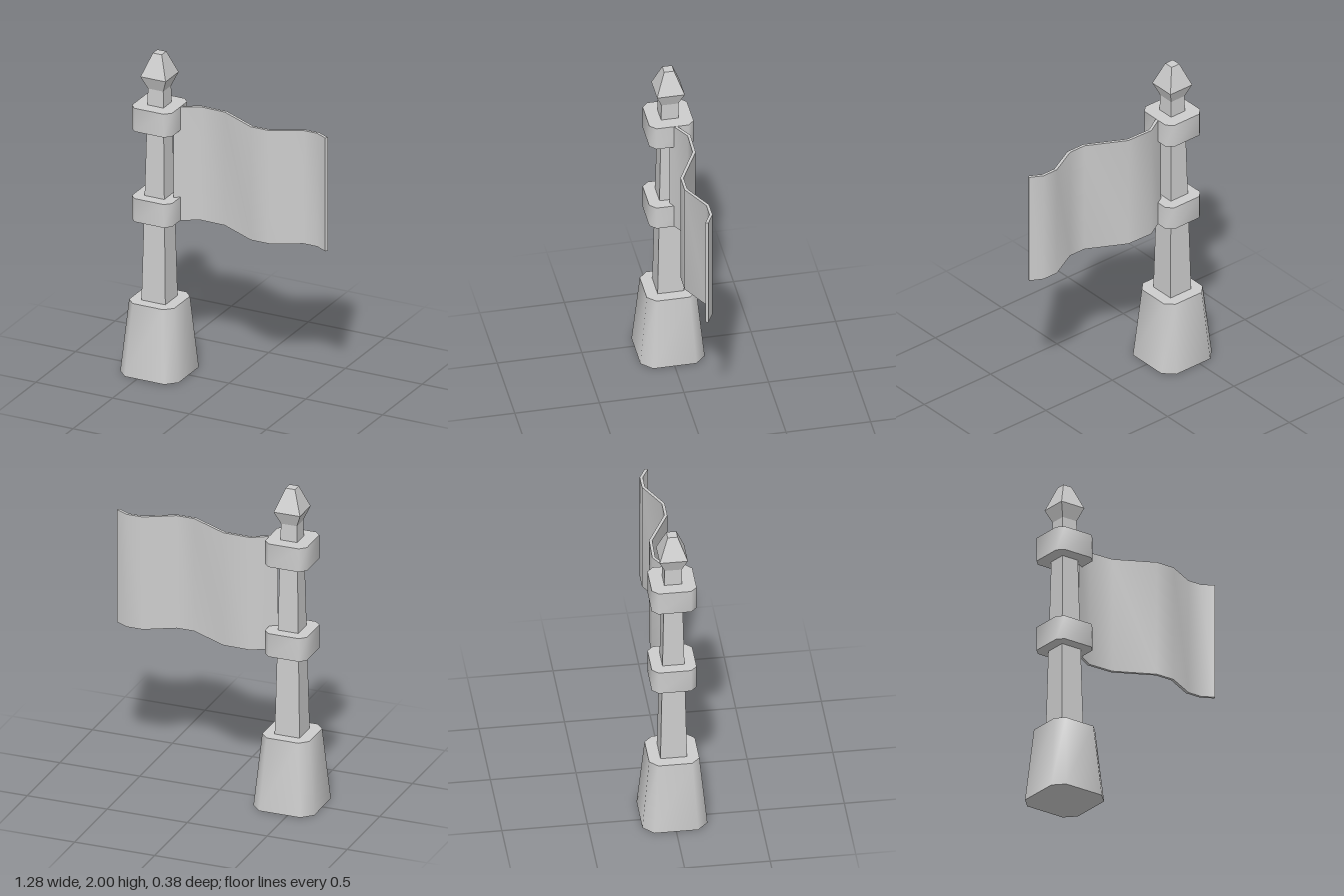
import * as THREE from 'three';
import { toCreasedNormals } from 'three/addons/utils/BufferGeometryUtils.js';

const POLE_X = -0.4525;

// Stack of square sections [y, halfWidth, cornerCut], capped at both ends
function loft(sections, crease) {
  const rings = sections.map(([y, h, c]) => {
    const k = h - c;
    const pts = c > 0
      ? [[h, k], [k, h], [-k, h], [-h, k], [-h, -k], [-k, -h], [k, -h], [h, -k]]
      : [[h, h], [-h, h], [-h, -h], [h, -h]];
    return pts.map(([x, z]) => [x, y, z]);
  });
  const n = rings[0].length;
  const pos = rings.flat(2);
  const index = [];
  for (let r = 0; r < rings.length - 1; r++) {
    for (let i = 0; i < n; i++) {
      const a = r * n + i, b = r * n + (i + 1) % n;
      index.push(a, a + n, b, b, a + n, b + n);
    }
  }
  const top = (rings.length - 1) * n;
  for (let i = 1; i < n - 1; i++) {
    index.push(0, i, i + 1);
    index.push(top, top + i + 1, top + i);
  }
  const geo = new THREE.BufferGeometry();
  geo.setAttribute('position', new THREE.Float32BufferAttribute(pos, 3));
  geo.setIndex(index);
  return toCreasedNormals(geo, crease);
}

// Wavy ribbon of constant thickness, extruded upward
function ribbon(path, thickness, y0, y1) {
  const pts = path.map(([x, z]) => new THREE.Vector2(x, -z));
  const side = (s) => pts.map((p, i) => {
    const prev = pts[Math.max(i - 1, 0)], next = pts[Math.min(i + 1, pts.length - 1)];
    const d = next.clone().sub(prev).normalize();
    return new THREE.Vector2(p.x - d.y * s, p.y + d.x * s);
  });
  const outline = [...side(-thickness / 2), ...side(thickness / 2).reverse()];
  const geo = new THREE.ExtrudeGeometry(new THREE.Shape(outline), { depth: y1 - y0, bevelEnabled: false });
  geo.rotateX(-Math.PI / 2).translate(0, y0, 0);
  return toCreasedNormals(geo, 0.9);
}

export function createModel() {
  const group = new THREE.Group();
  const grey = new THREE.MeshStandardMaterial({ color: 0xcccccc });
  grey.name = 'light grey';

  const add = (name, geo, x = 0) => {
    const mesh = new THREE.Mesh(geo, grey);
    mesh.name = name;
    mesh.position.x = x;
    group.add(mesh);
  };

  // Tapered foot with cut corners
  add('base', loft([[0, 0.19, 0.062], [0.45, 0.147, 0.048]], 1), POLE_X);

  // Square tapered pole ending in a blunt spear tip
  add('pole', loft([[0.44, 0.078, 0], [1.78, 0.05, 0]], 0.1), POLE_X);
  add('spearTip', loft([[1.78, 0.05, 0], [1.86, 0.082, 0], [2, 0.029, 0]], 0.1), POLE_X);

  // Collars holding the flag
  [['lowerCollar', 0.96], ['upperCollar', 1.53]].forEach(([name, y]) => {
    add(name, loft([[y, 0.131, 0.036], [y + 0.147, 0.131, 0.036]], 1), POLE_X);
  });

  // Waving flag
  add('flag', ribbon([
    [-0.36, 0.004], [-0.223, -0.076], [-0.058, -0.072], [0.174, 0.048],
    [0.288, 0.048], [0.464, -0.044], [0.558, -0.044], [0.633, -0.004],
  ], 0.018, 0.96, 1.675));

  return group;
}
